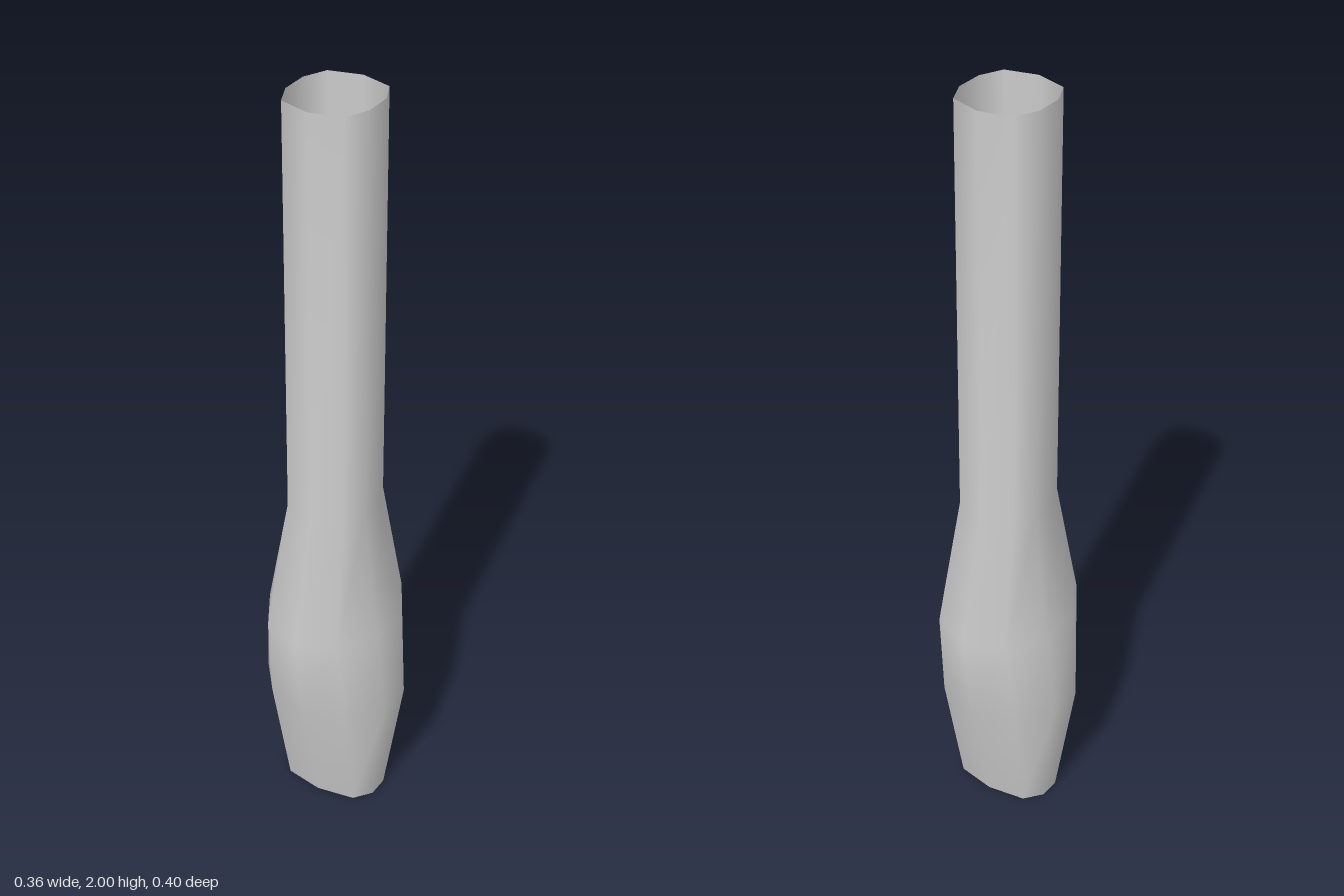
import * as THREE from 'three';
import { mergeVertices } from 'three/addons/utils/BufferGeometryUtils.js';

// Cross-sections from top to bottom; each is a ten-sided ring:
// y, end point z, shoulder point (x, z), side point (x, z)
const RINGS = [
  [2.0, 0.116, 0.081, 0.094, 0.108, 0.036],
  [0.92, 0.116, 0.081, 0.094, 0.108, 0.036],
  [0.58, 0.198, 0.103, 0.160, 0.163, 0.061],
  [0.33, 0.165, 0.113, 0.133, 0.180, 0.050],
  [0.0, 0.090, 0.100, 0.073, 0.135, 0.028],
];
const SIDES = 10;

// Mirrors one quarter of a ring into its ten points, starting at +z
function ringPoint([y, endZ, shoulderX, shoulderZ, sideX, sideZ], i) {
  const quarter = [[0, endZ], [shoulderX, shoulderZ], [sideX, sideZ]];
  const k = i % SIDES;
  const right = k <= SIDES / 2;
  const j = right ? k : SIDES - k;
  const front = j <= 2;
  const [x, z] = quarter[front ? j : 5 - j];
  return [right ? x : -x, y, front ? z : -z];
}

export function createModel() {
  const group = new THREE.Group();
  group.name = 'flaredTube';

  // Open tube whose rows are moved onto the cross-sections
  let geometry = new THREE.CylinderGeometry(1, 1, 1, SIDES, RINGS.length - 1, true);
  const position = geometry.attributes.position;
  RINGS.forEach((ring, row) => {
    for (let i = 0; i <= SIDES; i++) {
      position.setXYZ(row * (SIDES + 1) + i, ...ringPoint(ring, i));
    }
  });

  // Weld the seam so the shading is smooth all round
  geometry.deleteAttribute('uv');
  geometry.deleteAttribute('normal');
  geometry = mergeVertices(geometry);
  geometry.computeVertexNormals();

  const material = new THREE.MeshStandardMaterial({ color: 0xcccccc, side: THREE.DoubleSide });
  const tube = new THREE.Mesh(geometry, material);
  tube.name = 'tubeWall';
  group.add(tube);
  return group;
}
